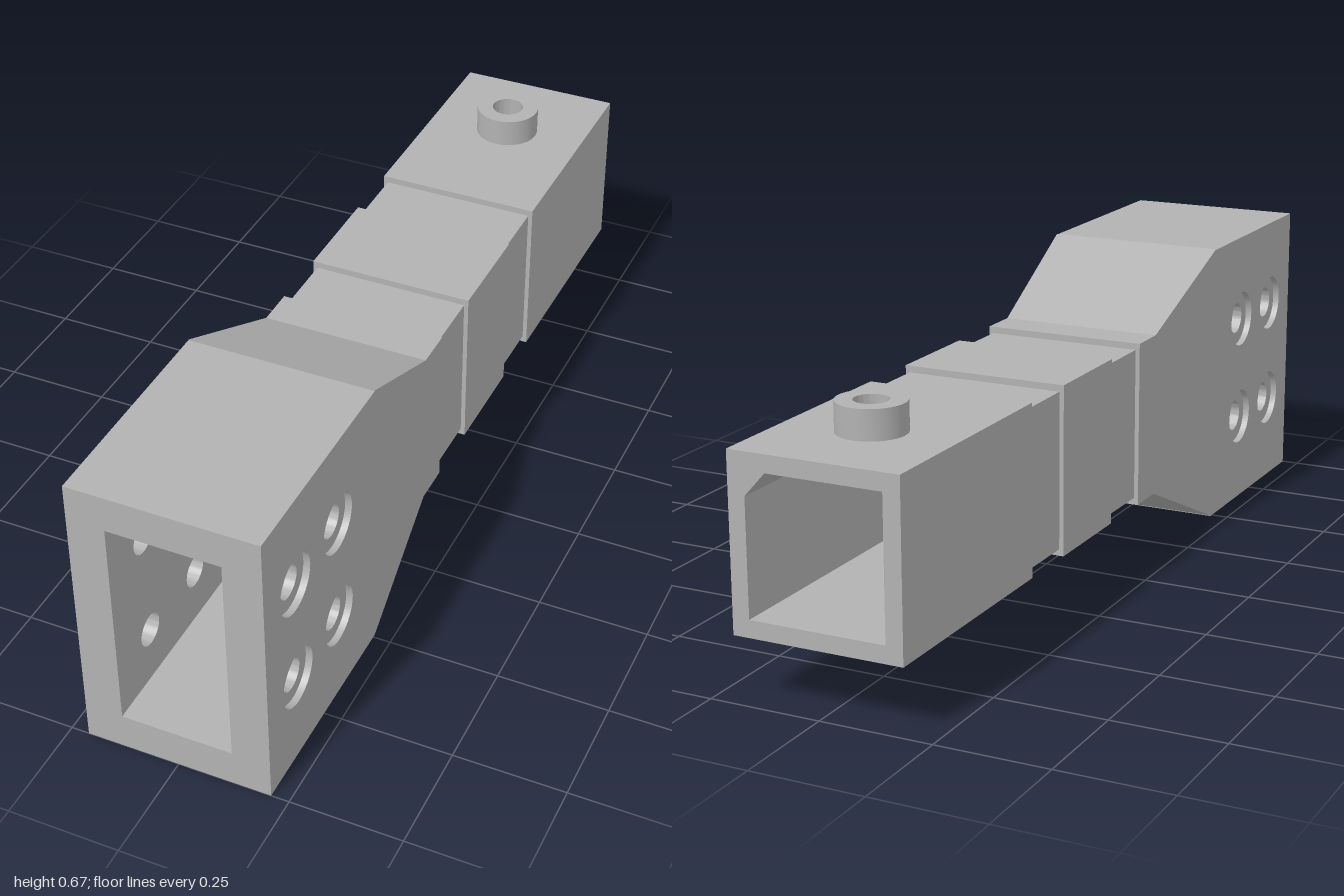
import * as THREE from 'three';
import { toCreasedNormals } from 'three/addons/utils/BufferGeometryUtils.js';

const CY = 0.335; // height of the long axis

// Rectangle outline with round holes given as [x, y, radius]
function plateShape(x0, x1, y0, y1, holes = []) {
  const shape = new THREE.Shape([[x0, y0], [x1, y0], [x1, y1], [x0, y1]].map(p => new THREE.Vector2(...p)));
  for (const [x, y, r] of holes) shape.holes.push(new THREE.Path().absarc(x, y, r, 0, Math.PI * 2, true));
  return shape;
}

function extrude(shape, depth) {
  return new THREE.ExtrudeGeometry(shape, { depth, bevelEnabled: false, curveSegments: 18 });
}

export function createModel() {
  const group = new THREE.Group();
  const metal = new THREE.MeshStandardMaterial({ color: 0xb2b2b2 });
  metal.name = 'grey metal';

  function add(name, geometry, x = 0, y = 0, z = 0) {
    const mesh = new THREE.Mesh(toCreasedNormals(geometry, 0.5), metal);
    mesh.name = name;
    mesh.position.set(x, y, z);
    group.add(mesh);
  }

  // Large front socket: side walls with four counterbored bolt holes each
  const boltHoles = r => [0.67, 0.865].flatMap(z => [0.21, 0.46].map(y => [z, y, r]));
  const sideWall = (r, depth) =>
    extrude(plateShape(0.49, 1, 0, 0.667, boltHoles(r)), depth).rotateY(-Math.PI / 2);
  for (const [side, outerX, innerX] of [['left', 0.21, 0.195], ['right', -0.195, -0.125]]) {
    add(side + 'CounterborePlate', sideWall(0.067, 0.015), outerX);
    add(side + 'SocketWall', sideWall(0.037, 0.07), innerX);
  }
  add('socketFloor', new THREE.BoxGeometry(0.25, 0.085, 0.51), 0, 0.0425, 0.745);
  add('socketRoof', new THREE.BoxGeometry(0.25, 0.082, 0.51), 0, 0.626, 0.745);

  // Taper: an extruded block whose outer corners spread towards the socket
  const bore = [[0, 0, 0.035]];
  const taper = extrude(plateShape(-0.19, 0.19, -0.19, 0.19, bore), 0.31);
  const pos = taper.attributes.position;
  for (let i = 0; i < pos.count; i++) {
    if (Math.abs(pos.getX(i)) < 0.1) continue;
    const t = pos.getZ(i) / 0.31;
    pos.setX(i, Math.sign(pos.getX(i)) * (0.19 + 0.02 * t));
    pos.setY(i, Math.sign(pos.getY(i)) * (0.19 + 0.1435 * t));
  }
  add('taper', taper, 0, CY, 0.18);

  // Square shank with two grooves, bored along the axis
  const shank = [
    ['frontCollar', 0.09, 0.18, 0.19, 0.19],
    ['frontGroove', -0.06, 0.09, 0.18, 0.175],
    ['middleCollar', -0.305, -0.06, 0.19, 0.19],
    ['rearGroove', -0.455, -0.305, 0.18, 0.175],
  ];
  for (const [name, z0, z1, w, h] of shank) {
    add(name, extrude(plateShape(-w, w, -h, h, bore), z1 - z0), 0, CY, z0);
  }

  // Rear socket: channel with one chamfered inner corner, closed by a drilled roof
  const channel = new THREE.Shape([
    [-0.19, 0.145], [0.19, 0.145], [0.19, 0.487], [0.105, 0.487], [0.152, 0.435],
    [0.152, 0.183], [-0.152, 0.183], [-0.152, 0.487], [-0.19, 0.487],
  ].map(p => new THREE.Vector2(...p)));
  add('rearChannel', extrude(channel, 0.545), 0, 0, -1);
  const roof = plateShape(-0.19, 0.19, 0.455, 1, [[0, 0.775, 0.037]]);
  add('rearRoof', extrude(roof, 0.038).rotateX(-Math.PI / 2), 0, 0.487, 0);

  // Round boss over the roof hole
  const ring = new THREE.Shape().absarc(0, 0, 0.074, 0, Math.PI * 2);
  ring.holes.push(new THREE.Path().absarc(0, 0, 0.037, 0, Math.PI * 2, true));
  add('boss', extrude(ring, 0.065).rotateX(-Math.PI / 2), 0, 0.525, -0.775);

  return group;
}
